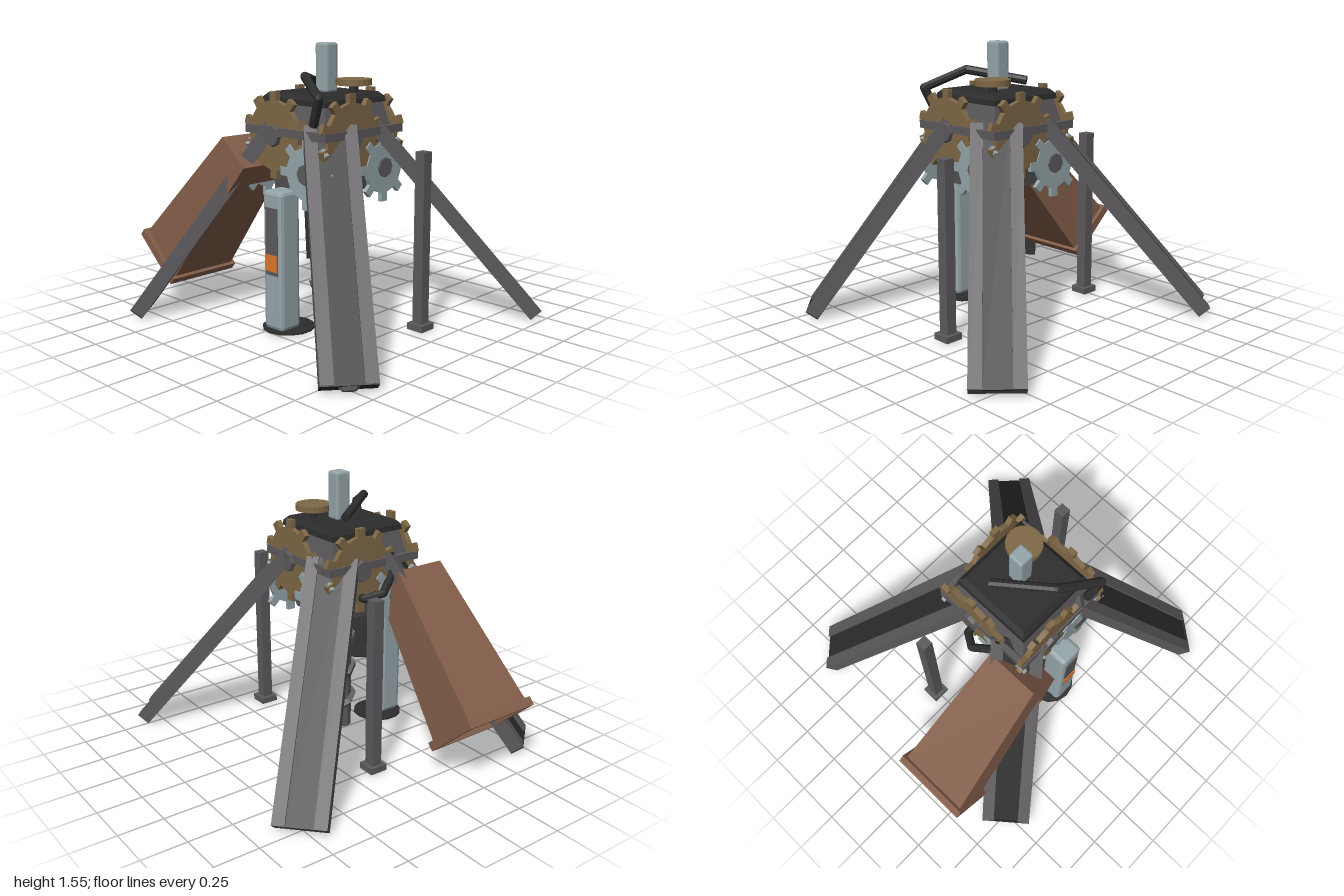
import * as THREE from 'three';
import { RoundedBoxGeometry } from 'three/addons/geometries/RoundedBoxGeometry.js';

const paint = (name, color) => {
  const m = new THREE.MeshStandardMaterial({ color, flatShading: true });
  m.name = name;
  return m;
};

export function createModel() {
  const iron = paint('iron grey', 0x5c595c);
  const black = paint('black', 0x2c2c2c);
  const brass = paint('brass', 0x7f6846);
  const steel = paint('pale steel', 0x95a5a9);
  const rust = paint('rust brown', 0x835e4a);
  const orange = paint('orange', 0xdf782b);

  const model = new THREE.Group();
  model.name = 'drillingMachine';
  const CX = 0.05, CZ = 0.09;

  const add = (parent, name, geo, mat, x = 0, y = 0, z = 0) => {
    const mesh = new THREE.Mesh(geo, mat);
    mesh.name = name;
    mesh.position.set(x, y, z);
    parent.add(mesh);
    return mesh;
  };
  const group = (parent, name) => {
    const g = new THREE.Group();
    g.name = name;
    parent.add(g);
    return g;
  };
  const box = (w, h, d) => new THREE.BoxGeometry(w, h, d);

  // Tapered block: half sizes at the bottom and the top
  const taper = (bx, bz, tx, tz, h) => {
    const geo = box(2, h, 2), p = geo.attributes.position;
    for (let i = 0; i < p.count; i++) {
      const top = p.getY(i) > 0;
      p.setX(i, p.getX(i) * (top ? tx : bx));
      p.setZ(i, p.getZ(i) * (top ? tz : bz));
    }
    geo.computeVertexNormals();
    return geo;
  };

  // Gear with square teeth, facing +z
  const gear = (r, R, teeth, halfTooth, depth) => {
    const pts = [], steps = 4;
    const da = halfTooth / r, gap = 2 * Math.PI / teeth - 2 * da;
    for (let i = 0; i < teeth; i++) {
      const a = Math.PI / 2 + i * 2 * Math.PI / teeth;
      for (const [u, v] of [[r, -halfTooth], [R, -halfTooth], [R, halfTooth], [r, halfTooth]])
        pts.push(new THREE.Vector2(u, v).rotateAround(new THREE.Vector2(), a));
      for (let k = 1; k < steps; k++) {
        const b = a + da + gap * k / steps;
        pts.push(new THREE.Vector2(r * Math.cos(b), r * Math.sin(b)));
      }
    }
    return new THREE.ExtrudeGeometry(new THREE.Shape(pts), { depth, bevelEnabled: false });
  };

  // Bent pipe: straight rods with ball joints
  const pipe = (name, pts, r) => {
    const g = group(model, name);
    const v = pts.map(p => new THREE.Vector3(...p));
    for (let i = 0; i < v.length - 1; i++) {
      const d = v[i + 1].clone().sub(v[i]);
      const rod = add(g, 'pipeRod', new THREE.CylinderGeometry(r, r, d.length(), 8), black);
      rod.position.copy(v[i]).addScaledVector(d, 0.5);
      rod.quaternion.setFromUnitVectors(new THREE.Vector3(0, 1, 0), d.normalize());
      if (i) add(g, 'pipeJoint', new THREE.SphereGeometry(r, 8, 6), black, ...pts[i]);
    }
  };

  // Gearbox housing and lid
  const head = group(model, 'head');
  head.position.set(CX, 0, CZ);
  add(head, 'lowerHousing', taper(0.185, 0.185, 0.265, 0.265, 0.325), iron, 0, 0.9075, 0);
  add(head, 'upperHousing', taper(0.265, 0.265, 0.225, 0.225, 0.17), iron, 0, 1.155, 0);
  add(head, 'lidBase', taper(0.24, 0.24, 0.235, 0.235, 0.03), black, 0, 1.245, 0);
  add(head, 'lidTop', taper(0.235, 0.235, 0.21, 0.21, 0.025), black, 0, 1.272, 0);

  // Four matching sides: brass gear, steel gear, frame bar and hubs
  const brassGeo = gear(0.188, 0.235, 10, 0.024, 0.03);
  const steelGeo = gear(0.14, 0.19, 8, 0.024, 0.025);
  for (let i = 0; i < 4; i++) {
    const side = group(head, 'gearSide');
    side.rotation.y = i * Math.PI / 2;
    add(side, 'brassGear', brassGeo, brass, -0.09, 1.062, 0.268);
    add(side, 'steelGear', steelGeo, steel, 0.16, 0.88, 0.28);
    add(side, 'frameBar', box(0.61, 0.045, 0.03), iron, 0, 1.085, 0.292);
    const hub = add(side, 'brassGearHub', new THREE.CylinderGeometry(0.056, 0.064, 0.03, 8), iron, -0.09, 1.062, 0.305);
    const pin = add(side, 'steelGearHub', new THREE.CylinderGeometry(0.055, 0.062, 0.06, 8), iron, 0.16, 0.88, 0.285);
    hub.rotation.x = pin.rotation.x = Math.PI / 2;
  }

  // Lid fittings
  add(model, 'topRod', new RoundedBoxGeometry(0.09, 0.27, 0.09, 1, 0.012), steel, 0.053, 1.415, 0.073);
  add(model, 'topWheel', new THREE.CylinderGeometry(0.1, 0.1, 0.034, 20), brass, 0.175, 1.338, -0.015);
  add(model, 'topWheelStem', new THREE.CylinderGeometry(0.025, 0.025, 0.05, 8), black, 0.175, 1.3, -0.015);
  pipe('topPipe', [[-0.1, 1.325, 0.0], [0.1, 1.38, 0.285], [0.315, 1.285, 0.4], [0.25, 1.14, 0.375]], 0.025);
  pipe('sidePipe', [[-0.24, 1.13, 0.2], [-0.27, 1.0, 0.19], [-0.33, 0.94, 0.085], [-0.275, 0.91, 0.0], [-0.2, 0.91, 0.0]], 0.023);

  // Channel legs: grey back plate and rails with a black strip
  const W = 0.28, railW = 0.068;
  const buildLeg = (fx, fz, front) => {
    const d = new THREE.Vector3(fx - CX, 0, fz - CZ);
    const reach = d.length();
    d.normalize();
    const top = new THREE.Vector3(CX, 1.14, CZ).addScaledVector(d, 0.3);
    const foot = new THREE.Vector3(CX, 0.05, CZ).addScaledVector(d, reach);
    const up = top.clone().sub(foot), L = up.length();
    up.normalize();
    const across = new THREE.Vector3(d.z, 0, -d.x);
    const out = across.clone().cross(up);
    const leg = group(model, 'leg');
    leg.quaternion.setFromRotationMatrix(new THREE.Matrix4().makeBasis(across, up, out));
    leg.position.copy(foot);
    add(leg, 'legPlate', box(W, L, 0.05), iron, 0, L / 2, -0.056);
    for (const s of [-1, 1])
      add(leg, 'legRail', box(railW, L, 0.032), iron, s * (W - railW) / 2, L / 2, -0.016);
    add(leg, 'legStrip', box(W - 2 * railW, L, 0.02), black, 0, L / 2, -0.022);
    if (front) {
      add(leg, 'footPlate', box(W, 0.006, 0.08), black, 0, -0.003, -0.041);
      const nub = add(leg, 'footNub', new THREE.CylinderGeometry(0.055, 0.035, 0.02, 8), iron, 0, -0.014, -0.037);
      nub.scale.z = 0.55;
    }
  };
  for (const s of [-1, 1]) {
    buildLeg(CX + s * 0.84, 0.785, true);
    buildLeg(CX + s * 0.84, -0.8, false);
  }

  // Discharge chute with a flared rim
  const chute = group(model, 'chute');
  const hi = new THREE.Vector3(-0.222, 0.963, 0.362), lo = new THREE.Vector3(-0.83, 0.287, 0.365);
  const axis = hi.clone().sub(lo), CL = axis.length();
  chute.position.copy(lo);
  chute.quaternion.setFromUnitVectors(new THREE.Vector3(0, 1, 0), axis.normalize());
  add(chute, 'chuteBody', taper(0.172, 0.213, 0.115, 0.157, CL), rust, 0, CL / 2, 0);
  for (const s of [-1, 1]) {
    add(chute, 'chuteRimSide', box(0.03, 0.05, 0.47), rust, s * 0.175, -0.015, 0);
    add(chute, 'chuteRimEnd', box(0.32, 0.05, 0.03), rust, 0, -0.015, s * 0.22);
  }

  // Front column with display and floor disc
  const column = group(model, 'frontColumn');
  column.position.set(0.053, 0, 0.42);
  add(column, 'columnBody', new RoundedBoxGeometry(0.144, 0.77, 0.142, 1, 0.022), steel, 0, 0.4, 0);
  add(column, 'columnPanel', box(0.09, 0.37, 0.008), iron, 0, 0.51, 0.072);
  add(column, 'columnDisplay', box(0.09, 0.09, 0.008), orange, 0, 0.393, 0.077);
  add(column, 'floorDisc', new THREE.CylinderGeometry(0.145, 0.145, 0.01, 14), black, -0.003, 0.009, -0.05);

  // Drill: shaft with a spiral blade
  const drill = group(model, 'drill');
  drill.position.set(0.05, 0, 0.097);
  add(drill, 'drillShaft', new THREE.CylinderGeometry(0.053, 0.053, 0.78, 8), iron, 0, 0.39, 0);
  const spiral = [];
  for (let i = -1; i <= 21; i++) {
    const a = i * Math.PI / 3;
    spiral.push(new THREE.Vector3(0.063 * Math.cos(a), 0.07 + i * 0.19 / 6, -0.063 * Math.sin(a)));
  }
  add(drill, 'drillSpiral', new THREE.TubeGeometry(new THREE.CatmullRomCurve3(spiral), 22, 0.024, 4), iron);

  // Standing posts either side
  for (const x of [-0.5, 0.595]) {
    const post = group(model, 'sidePost');
    post.position.set(x, 0, -0.105);
    add(post, 'postShaft', box(0.062, 0.97, 0.062), iron, 0, 0.505, 0);
    add(post, 'postBase', box(0.104, 0.036, 0.104), iron, 0, 0.022, 0);
  }
  return model;
}
